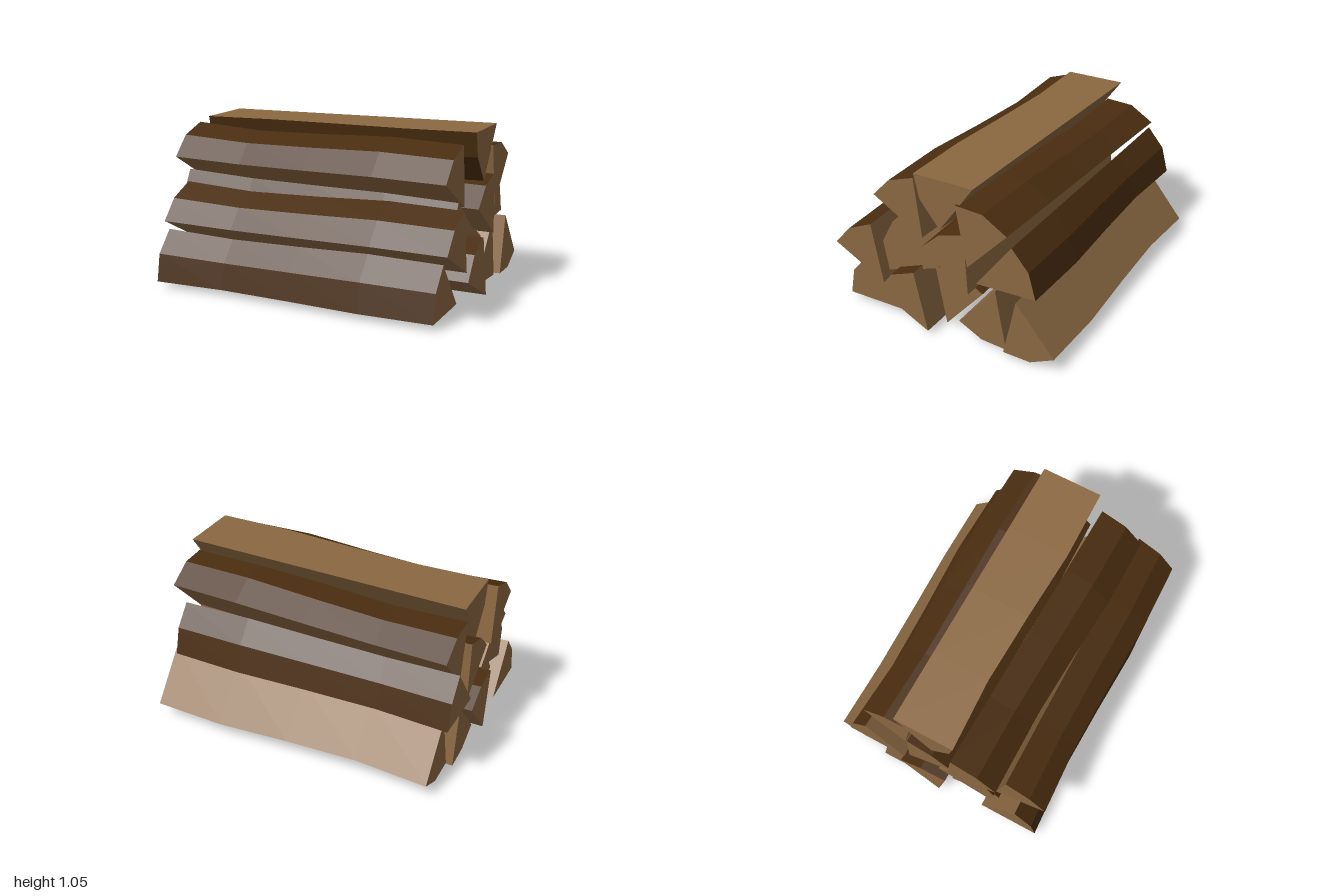
import * as THREE from 'three';

const wood = new THREE.MeshStandardMaterial({ color: 0x8b6841, flatShading: true });
const bark = new THREE.MeshStandardMaterial({ color: 0x4a2d10, flatShading: true });

// Swelling of the bark side along each log, from the -x end to the +x end
const swell = [1, 0.94, 0.975, 1.03, 1];

// Each split log: x range, core and three bark corners as [z, y] at the +x end,
// and the [z, y] drift of the -x end
const logs = [
  { name: 'topLog', x: [-0.92, 0.94], core: [-0.23, 1.055], rim: [[0.165, 1.055], [0.13, 0.9], [0, 0.735]], drift: [-0.02, -0.025] },
  { name: 'upperFrontLog', x: [-0.98, 0.88], core: [0.17, 0.6], rim: [[0.51, 0.8], [0.39, 0.925], [0.215, 0.985]], drift: [-0.055, 0.005] },
  { name: 'upperBackLog', x: [-0.91, 0.955], core: [-0.19, 0.55], rim: [[-0.12, 0.935], [-0.3, 0.925], [-0.455, 0.83]], drift: [-0.04, -0.04] },
  { name: 'middleBackLog', x: [-0.98, 0.88], core: [-0.2, 0.4], rim: [[-0.44, 0.715], [-0.55, 0.585], [-0.595, 0.415]], drift: [-0.01, 0] },
  { name: 'middleFrontLog', x: [-0.88, 0.98], core: [0.4, 0.27], rim: [[0.47, 0.655], [0.635, 0.58], [0.745, 0.455]], drift: [0, 0] },
  { name: 'innerFrontLog', x: [-0.955, 0.905], core: [0.06, 0.435], rim: [[0.36, 0.67], [0.45, 0.5], [0.43, 0.31]], drift: [-0.025, 0.035] },
  { name: 'innerBackLog', x: [-0.95, 0.955], core: [-0.19, 0.365], rim: [[-0.17, 0.755], [0, 0.705], [0.13, 0.585]], drift: [0, 0] },
  { name: 'lowerFrontLog', x: [-0.965, 0.9], core: [0.335, 0.047], rim: [[0.73, 0.045], [0.697, 0.22], [0.578, 0.355]], drift: [0, 0] },
  { name: 'lowerInnerFrontLog', x: [-0.9, 1], core: [0.075, 0.04], rim: [[0.16, 0.425], [0.325, 0.36], [0.43, 0.22]], drift: [0, 0] },
  { name: 'lowerCentreLog', x: [-1, 0.86], core: [0.03, 0.03], rim: [[0.1, 0.42], [-0.08, 0.41], [-0.23, 0.325]], drift: [0, 0] },
  { name: 'lowerInnerBackLog', x: [-0.96, 0.9], core: [-0.34, 0.405], rim: [[-0.085, 0.11], [-0.24, 0.03], [-0.41, 0.018]], drift: [0, 0] },
  { name: 'lowerBackLog', x: [-0.92, 0.94], core: [-0.5, 0.405], rim: [[-0.75, 0.1], [-0.595, 0.025], [-0.415, 0.03]], drift: [0, 0] },
];

// Positive when core, a, b run counter-clockwise seen from +x
const turn = (c, a, b) => -(a[0] - c[0]) * (b[1] - c[1]) + (a[1] - c[1]) * (b[0] - c[0]);

function mesh(name, points, material) {
  const geometry = new THREE.BufferGeometry().setFromPoints(points);
  geometry.computeVertexNormals();
  const m = new THREE.Mesh(geometry, material);
  m.name = name;
  return m;
}

function createLog({ name, x, core, rim, drift }) {
  const corners = turn(core, rim[0], rim[2]) > 0 ? rim : [...rim].reverse();
  const last = swell.length - 1;

  // Wedge sections along the length, core first
  const sections = swell.map((s, k) => {
    const t = k / last;
    return [core, ...corners].map(([z, y]) => new THREE.Vector3(
      THREE.MathUtils.lerp(x[0], x[1], t),
      Math.max(0, core[1] + (y - core[1]) * s + drift[1] * (1 - t)),
      core[0] + (z - core[0]) * s + drift[0] * (1 - t)));
  });

  // Long faces: edges touching the core are split wood, the others are bark
  const woodPoints = [], barkPoints = [];
  for (let k = 0; k < last; k++) {
    for (let i = 0; i < 4; i++) {
      const j = (i + 1) % 4;
      const a = sections[k][i], b = sections[k][j];
      const c = sections[k + 1][j], d = sections[k + 1][i];
      (i === 0 || j === 0 ? woodPoints : barkPoints).push(a, b, c, a, c, d);
    }
  }

  // Sawn ends
  const [p, q] = [sections[0], sections[last]];
  woodPoints.push(q[0], q[1], q[2], q[0], q[2], q[3]);
  woodPoints.push(p[0], p[2], p[1], p[0], p[3], p[2]);

  const log = new THREE.Group();
  log.name = name;
  log.add(mesh('splitWood', woodPoints, wood), mesh('bark', barkPoints, bark));
  return log;
}

export function createModel() {
  const pile = new THREE.Group();
  pile.name = 'firewoodPile';
  logs.forEach((log) => pile.add(createLog(log)));
  return pile;
}
